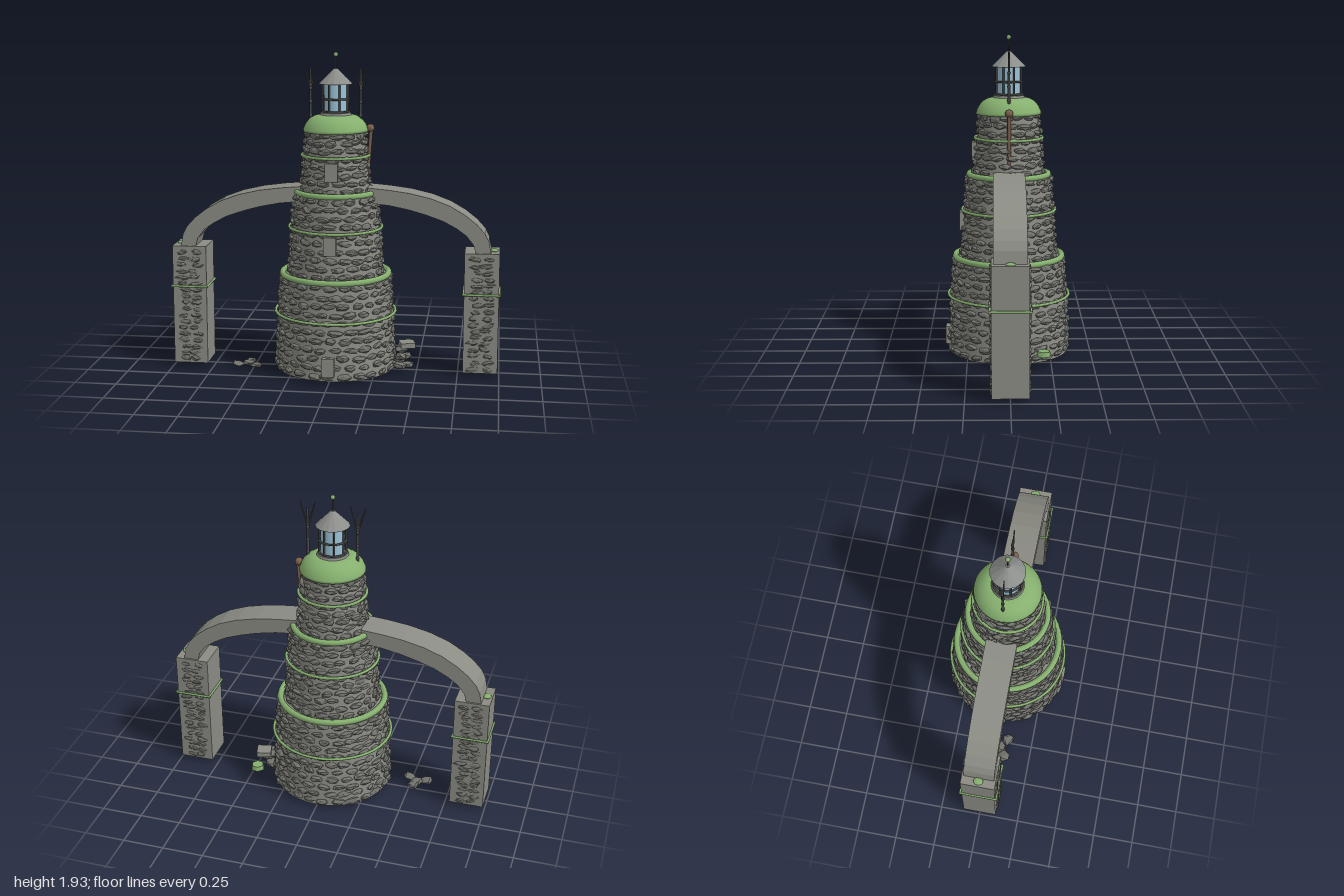
import * as THREE from 'three';
import { mergeGeometries, mergeVertices } from 'three/addons/utils/BufferGeometryUtils.js';

const mat = (name, color, extra = {}) => {
  const m = new THREE.MeshStandardMaterial({ color, ...extra });
  m.name = name;
  return m;
};

export function createModel() {
  const root = new THREE.Group();
  root.name = 'stoneTower';
  const wall = mat('wallGrey', 0x8b8c84);
  const stone = mat('stoneGrey', 0x73736e);
  const moss = mat('mossGreen', 0x86b06f);
  const iron = mat('darkIron', 0x4c4e4b);
  const glass = mat('paleGlass', 0x9cc3d8);
  const rust = mat('rustBrown', 0x7c604c);
  const roofGrey = mat('roofGrey', 0x8d8f8c);
  [stone, roofGrey].forEach(m => { m.flatShading = true; });

  let seed = 7;
  const rnd = () => (seed = (seed * 16807) % 2147483647) / 2147483647;
  const vary = (a, b) => a + (b - a) * rnd();

  const add = (name, geo, material, x = 0, y = 0, z = 0, parent = root) => {
    const m = new THREE.Mesh(geo, material);
    m.name = name;
    m.position.set(x, y, z);
    parent.add(m);
    return m;
  };

  // A rough stone: jittered icosahedron, stretched to size
  const ico = new THREE.IcosahedronGeometry(1, 0);
  ico.deleteAttribute('normal');
  ico.deleteAttribute('uv');
  const icoShared = mergeVertices(ico);
  const rock = (w, h, d) => {
    const g = icoShared.clone();
    const p = g.attributes.position;
    g.rotateZ(vary(0, 6.28));
    for (let i = 0; i < p.count; i++) {
      const s = vary(0.8, 1.2);
      p.setXYZ(i, p.getX(i) * s * w / 2, p.getY(i) * s * h / 2, p.getZ(i) * s * d / 2);
    }
    const flat = g.toNonIndexed();
    flat.computeVertexNormals();
    return flat;
  };

  // Rod between two points
  const rod = (name, a, b, r, material, parent = root, r2 = r) => {
    const p = new THREE.Vector3(...a), q = new THREE.Vector3(...b);
    const dir = q.clone().sub(p);
    const m = add(name, new THREE.CylinderGeometry(r2, r, dir.length(), 8), material, 0, 0, 0, parent);
    m.position.copy(p).add(q).multiplyScalar(0.5);
    m.quaternion.setFromUnitVectors(new THREE.Vector3(0, 1, 0), dir.normalize());
    return m;
  };

  const ring = (name, r, tube, y, material, parent = root) => {
    const g = new THREE.TorusGeometry(r, tube, 8, 48);
    g.rotateX(Math.PI / 2);
    return add(name, g, material, 0, y, 0, parent);
  };

  // Three tapering tiers faced with rows of stones
  const tiers = [
    { y0: 0.02, y1: 0.6, r0: 0.36, r1: 0.328, rows: 11, count: 25 },
    { y0: 0.6, y1: 1.1, r0: 0.282, r1: 0.248, rows: 10, count: 20 },
    { y0: 1.1, y1: 1.48, r0: 0.208, r1: 0.172, rows: 8, count: 15 },
  ];
  tiers.forEach((t, k) => {
    const h = t.y1 - t.y0;
    add('tierWall' + (k + 1), new THREE.CylinderGeometry(t.r1, t.r0, h, 40), wall, 0, t.y0 + h / 2, 0);
    const parts = [];
    for (let i = 0; i < t.rows; i++) {
      const f = (i + 0.5) / t.rows;
      const r = t.r0 + (t.r1 - t.r0) * f + 0.003;
      for (let j = 0; j < t.count; j++) {
        const a = ((j + (i % 2) / 2 + vary(-0.12, 0.12)) / t.count) * Math.PI * 2;
        const g = rock(vary(0.075, 0.1), vary(0.035, 0.048), vary(0.03, 0.044));
        g.rotateZ(vary(-0.12, 0.12));
        g.translate(0, t.y0 + f * h + vary(-0.005, 0.005), r);
        g.rotateY(a);
        parts.push(g);
      }
    }
    add('tierStones' + (k + 1), mergeGeometries(parts), stone);
  });

  // Moss bands and ledges
  ring('lowerBand', 0.366, 0.009, 0.37, moss);
  ring('middleBand', 0.281, 0.009, 0.89, moss);
  ring('upperBand', 0.203, 0.009, 1.325, moss);
  ring('lowerLedge', 0.322, 0.019, 0.605, moss);
  ring('upperLedge', 0.238, 0.018, 1.105, moss);

  // Blank window panels on the front
  [[0.11, 0.372], [0.82, 0.286], [1.245, 0.21]].forEach(([y, z]) =>
    add('blankWindow', new THREE.BoxGeometry(0.075, 0.11, 0.03), wall, 0, y, z - 0.004));

  // Dome under the lantern
  const dome = [[0.165, 1.465], [0.196, 1.467], [0.194, 1.482], [0.18, 1.512], [0.158, 1.54],
    [0.128, 1.558], [0.1, 1.565], [0, 1.566]].map(p => new THREE.Vector2(...p));
  add('mossDome', new THREE.LatheGeometry(dome, 40), moss);

  // Lantern room
  const lantern = new THREE.Group();
  lantern.name = 'lantern';
  root.add(lantern);
  add('lanternBase', new THREE.CylinderGeometry(0.09, 0.096, 0.016, 24), roofGrey, 0, 1.57, 0, lantern);
  add('lanternGlass', new THREE.CylinderGeometry(0.07, 0.07, 0.18, 16), glass, 0, 1.662, 0, lantern);
  for (let i = 0; i < 8; i++) {
    const a = ((i + 0.5) / 8) * Math.PI * 2, x = Math.cos(a) * 0.079, z = Math.sin(a) * 0.079;
    rod('lanternBar', [x, 1.57, z], [x, 1.755, z], 0.006, iron, lantern);
  }
  ring('lanternRail', 0.081, 0.006, 1.66, iron, lantern);
  ring('lanternFoot', 0.081, 0.006, 1.585, iron, lantern);
  add('lanternRoof', new THREE.CylinderGeometry(0.012, 0.102, 0.09, 14), roofGrey, 0, 1.793, 0, lantern);
  rod('finialRod', [0, 1.83, 0], [0, 1.92, 0], 0.005, iron, lantern);
  add('finialBall', new THREE.SphereGeometry(0.014, 12, 8), moss, 0, 1.92, 0, lantern);

  // Branching masts beside the lantern
  for (const s of [-1, 1]) {
    const mast = new THREE.Group();
    mast.name = s > 0 ? 'leftMast' : 'rightMast';
    mast.position.x = s * 0.15;
    root.add(mast);
    rod('mastPole', [0, 1.48, 0], [0, 1.84, 0], 0.009, iron, mast, 0.006);
    for (const b of [-1, 1]) rod('mastBranch', [0, 1.72, 0], [b * 0.045, 1.875, 0], 0.006, iron, mast, 0.003);
    for (const y of [1.56, 1.64, 1.72])
      add('mastKnot', new THREE.SphereGeometry(0.011, 8, 6), iron, 0, y, 0, mast);
  }

  // Rusty pipe leaning on the upper tier
  rod('rustyPipe', [0.19, 1.16, 0], [0.213, 1.49, 0], 0.011, rust);
  rod('pipeBracket', [0.16, 1.465, 0], [0.213, 1.49, 0], 0.012, rust);
  add('pipeCap', new THREE.SphereGeometry(0.024, 12, 8), rust, 0.208, 1.488, 0);

  // Arched buttresses and their piers, mirrored
  const outer = [[0.2, 1.14], [0.32, 1.13], [0.45, 1.113], [0.58, 1.083], [0.69, 1.042], [0.78, 0.99],
    [0.85, 0.935], [0.9, 0.88], [0.925, 0.83], [0.94, 0.75]];
  const inner = [[0.85, 0.75], [0.833, 0.81], [0.79, 0.865], [0.73, 0.908], [0.65, 0.95], [0.55, 0.985],
    [0.45, 1.013], [0.33, 1.037], [0.2, 1.05]];
  for (const s of [-1, 1]) {
    const side = new THREE.Group();
    side.name = s > 0 ? 'leftButtress' : 'rightButtress';
    root.add(side);
    const pts = [...outer, ...inner].map(([x, y]) => new THREE.Vector2(x * s, y));
    const arch = new THREE.ExtrudeGeometry(new THREE.Shape(pts), { depth: 0.186, bevelEnabled: false });
    add('arch', arch, wall, 0, 0, -0.093, side);

    const cx = s * 0.886;
    add('pier', new THREE.BoxGeometry(0.208, 0.735, 0.208), wall, cx, 0.3925, 0, side);
    const parts = [];
    for (const f of [-1, 1]) for (let i = 0; i < 18; i++) for (let j = 0; j < 2; j++) {
      const g = rock(vary(0.06, 0.09), vary(0.026, 0.038), 0.022);
      g.rotateZ(vary(-0.2, 0.2));
      g.translate(cx + (j - 0.5) * 0.07 + vary(-0.015, 0.015), 0.05 + i * 0.0395 + vary(-0.006, 0.006), f * 0.104);
      parts.push(g);
    }
    add('pierStones', mergeGeometries(parts), stone, 0, 0, 0, side);

    // Square moss band around the pier
    for (const f of [-1, 1]) {
      rod('pierBand', [cx - 0.114, 0.51, f * 0.112], [cx + 0.114, 0.51, f * 0.112], 0.007, moss, side);
      rod('pierBand', [cx + f * 0.108, 0.51, -0.114], [cx + f * 0.108, 0.51, 0.114], 0.007, moss, side);
    }
    const tuft = add('pierMoss', new THREE.SphereGeometry(0.03, 12, 8), moss, s * 0.957, 0.762, 0, side);
    tuft.scale.set(0.8, 0.35, 1);
  }

  // Rubble on the ground: x, y, z, width, height, depth
  const heap = (name, list) => add(name, mergeGeometries(list.map(([x, y, z, w, h, d]) =>
    rock(w, h, d).translate(x, y, z))), stone);
  heap('rightRubble', [[-0.6, 0.023, 0.08, 0.08, 0.036, 0.08], [-0.54, 0.022, 0.05, 0.08, 0.036, 0.08],
    [-0.48, 0.022, 0.09, 0.08, 0.034, 0.07], [-0.53, 0.023, 0.0, 0.07, 0.036, 0.07]]);
  heap('leftRubble', [[0.39, 0.045, -0.05, 0.09, 0.05, 0.09], [0.44, 0.04, 0.02, 0.08, 0.04, 0.08],
    [0.4, 0.045, 0.07, 0.09, 0.05, 0.07], [0.43, 0.08, -0.03, 0.09, 0.045, 0.08],
    [0.4, 0.09, 0.03, 0.08, 0.05, 0.08], [0.4, 0.115, -0.05, 0.08, 0.045, 0.09]]);
  const slab = add('fallenSlab', new THREE.BoxGeometry(0.09, 0.032, 0.09), wall, 0.435, 0.14, -0.07);
  slab.rotation.y = 0.25;
  const clump = add('mossyBlock', new THREE.CylinderGeometry(0.038, 0.044, 0.03, 6), moss, 0.435, 0.112, -0.2);
  clump.rotation.y = 0.3;

  // Loose stones and a rusty strip beneath the floor
  const under = [];
  for (let i = 0; i < 26; i++) {
    const a = i * 2.4, r = 0.055 * Math.sqrt(i + 1);
    under.push(rock(0.07, 0.016, 0.04).translate(Math.cos(a) * r, 0.018, Math.sin(a) * r));
  }
  add('floorStones', mergeGeometries(under), stone);
  for (let i = 0; i < 12; i++)
    add('floorStrip', new THREE.BoxGeometry(0.034, 0.02, 0.022), rust, -0.22 + i * 0.04, 0.01, (i % 2) * 0.006);
  return root;
}
